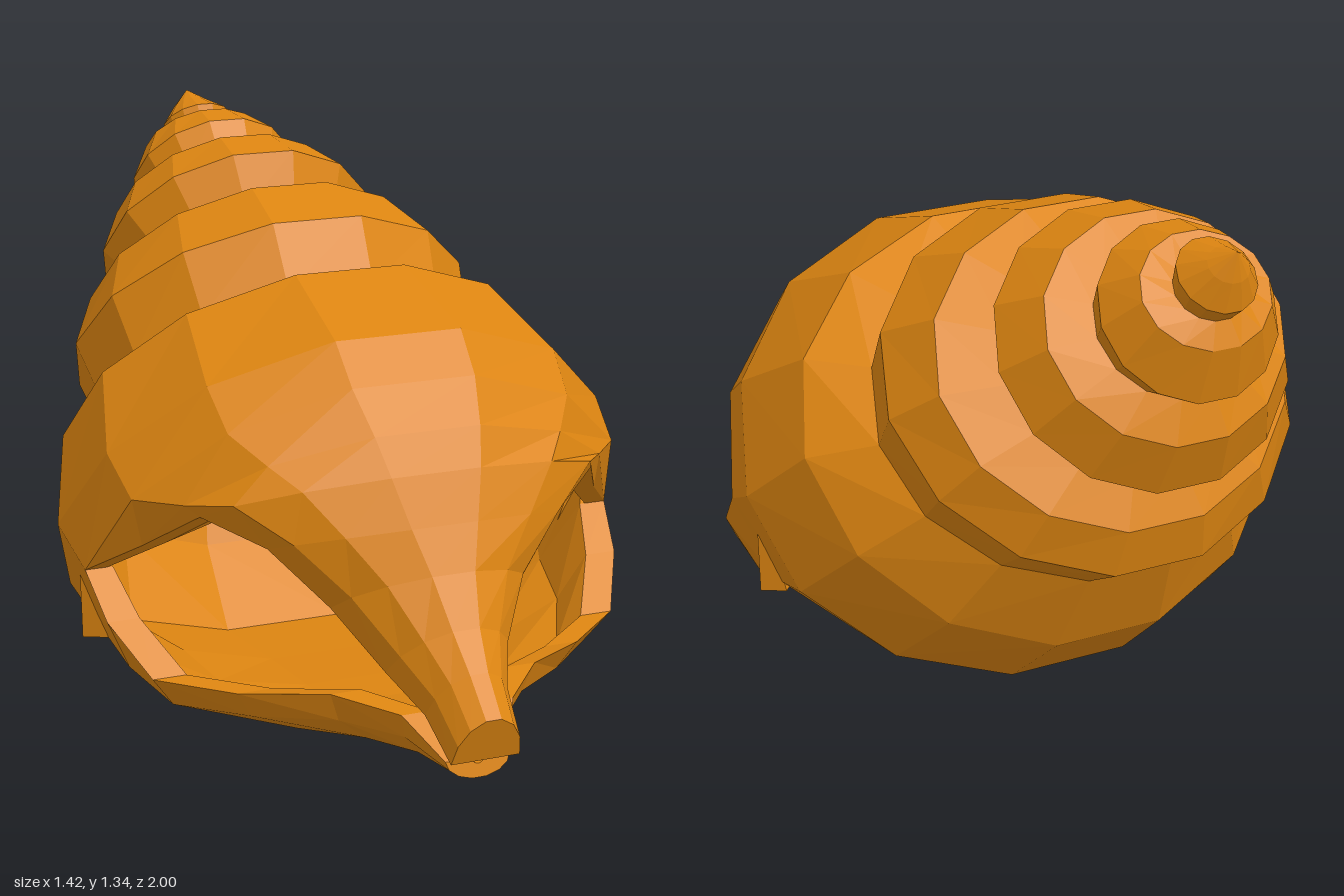
import * as THREE from 'three';

const material = new THREE.MeshStandardMaterial({ color: 0xdd8511, flatShading: true, side: THREE.DoubleSide });

// Fourteen-sided rings: a corner at each side, a flat on top and bottom
const HALF_SIDES = 7;
const FLAT = 1 / Math.cos(Math.PI / 14);

// Half ring from side point c=[z,y] at +-x, arching through the edge point e=[z,y]
function arc(c, e, x, k = 1) {
  return Array.from({ length: HALF_SIDES + 1 }, (_, i) => {
    const a = (i * Math.PI) / HALF_SIDES;
    const v = Math.sin(a) * FLAT * k;
    return [Math.cos(a) * x * k, c[1] + (e[1] - c[1]) * v, c[0] + (e[0] - c[0]) * v];
  });
}

// Skin a list of closed loops running from the back to the front
function skin(name, loops, capEnd) {
  const n = loops[0].length;
  const pos = loops.flat(2);
  const index = [];
  for (let i = 0; i < loops.length - 1; i++) {
    for (let j = 0; j < n; j++) {
      const a = i * n + j, b = i * n + (j + 1) % n;
      index.push(a, b, b + n, a, b + n, a + n);
    }
  }
  if (capEnd) {
    const last = loops[loops.length - 1];
    const start = (loops.length - 1) * n;
    pos.push(...[0, 1, 2].map((q) => last.reduce((sum, p) => sum + p[q], 0) / n));
    for (let j = 0; j < n; j++) index.push(start + j, start + (j + 1) % n, start + n);
  }
  const g = new THREE.BufferGeometry();
  g.setAttribute('position', new THREE.Float32BufferAttribute(pos, 3));
  g.setIndex(index);
  g.computeVertexNormals();
  const mesh = new THREE.Mesh(g, material);
  mesh.name = name;
  return mesh;
}

// Full ring: upper half, then lower half back to the start
function ring([top, bottom, x, side]) {
  const c = side || [(top[0] + bottom[0]) / 2, (top[1] + bottom[1]) / 2];
  return [...arc(c, top, x), ...arc(c, bottom, x).reverse().slice(1, -1)];
}

// Thick half ring: outer arc, then the inner arc back (k = inner scale)
function jawLoop(isUpper, [edge, c, x, k]) {
  const outer = arc(c, edge, x);
  const inner = arc(c, edge, x, k);
  return isUpper ? [...outer, ...inner.reverse()] : [...outer.reverse(), ...inner];
}

export function createModel() {
  const group = new THREE.Group();
  group.name = 'seaShell';

  // Whorls of the spire: [top, bottom, half width], points as [z, y]
  const spire = [
    [[-1, 1.34], [-1, 1.34], 0],
    [[-0.93, 1.33], [-1, 1.27], 0.05],
    [[-0.85, 1.325], [-0.99, 1.2], 0.095],
    [[-0.83, 1.27], [-0.95, 1.17], 0.085],
    [[-0.79, 1.32], [-0.97, 1.11], 0.16],
    [[-0.68, 1.31], [-0.94, 0.98], 0.22],
    [[-0.62, 1.22], [-0.86, 0.96], 0.19],
    [[-0.55, 1.29], [-0.885, 0.86], 0.3],
    [[-0.41, 1.27], [-0.83, 0.73], 0.37],
    [[-0.36, 1.14], [-0.7, 0.71], 0.3],
    [[-0.23, 1.22], [-0.74, 0.6], 0.45],
    [[-0.04, 1.17], [-0.71, 0.48], 0.525],
    [[0.05, 1.02], [-0.58, 0.41], 0.5],
  ];
  group.add(skin('spire', spire.map(ring)));

  // Large body whorl behind the mouth
  const body = [
    spire[spire.length - 1],
    [[0.17, 1.09], [-0.48, 0.2], 0.635, [-0.14, 0.66]],
    [[0.46, 1.0], [-0.28, 0.03], 0.71, [0.05, 0.5]],
  ];
  group.add(skin('bodyWhorl', body.map(ring)));

  // Upper mouth wall narrowing into the beak: [top, side edge, half width, inner scale]
  const upper = [
    [[0.46, 1.0], [0.05, 0.5], 0.71, 1],
    [[0.55, 0.91], [0.2, 0.43], 0.69, 0.92],
    [[0.63, 0.815], [0.33, 0.52], 0.59, 0.9],
    [[0.68, 0.73], [0.48, 0.625], 0.5, 0.88],
    [[0.73, 0.62], [0.57, 0.56], 0.37, 0.8],
    [[0.78, 0.52], [0.63, 0.42], 0.24, 0.6],
    [[0.85, 0.41], [0.74, 0.29], 0.15, 0.4],
    [[0.92, 0.33], [0.85, 0.22], 0.1, 0.2],
    [[1.0, 0.25], [0.96, 0.14], 0.085, 0],
  ];
  group.add(skin('upperMouth', upper.map((r) => jawLoop(true, r)), true));

  // Lower lip, a thick-rimmed bowl
  const lower = [
    [[-0.28, 0.03], [0.05, 0.5], 0.71, 1],
    [[-0.04, 0.0], [0.2, 0.43], 0.69, 0.9],
    [[0.2, 0.02], [0.3, 0.33], 0.67, 0.88],
    [[0.35, 0.035], [0.42, 0.22], 0.6, 0.86],
    [[0.5, 0.05], [0.55, 0.21], 0.44, 0.8],
    [[0.65, 0.065], [0.68, 0.23], 0.26, 0.7],
    [[0.78, 0.075], [0.81, 0.21], 0.14, 0.5],
    [[0.93, 0.085], [0.92, 0.13], 0.08, 0.3],
  ];
  group.add(skin('lowerLip', lower.map((r) => jawLoop(false, r)), true));

  // Small pointed folds just behind the mouth corners
  for (const s of [-1, 1]) {
    const fold = new THREE.Mesh(new THREE.ConeGeometry(0.05, 0.27, 4), material);
    fold.name = s > 0 ? 'leftFold' : 'rightFold';
    fold.position.set(s * 0.645, 0.36, 0.09);
    fold.rotation.z = -s * 0.2;
    group.add(fold);
  }

  return group;
}
